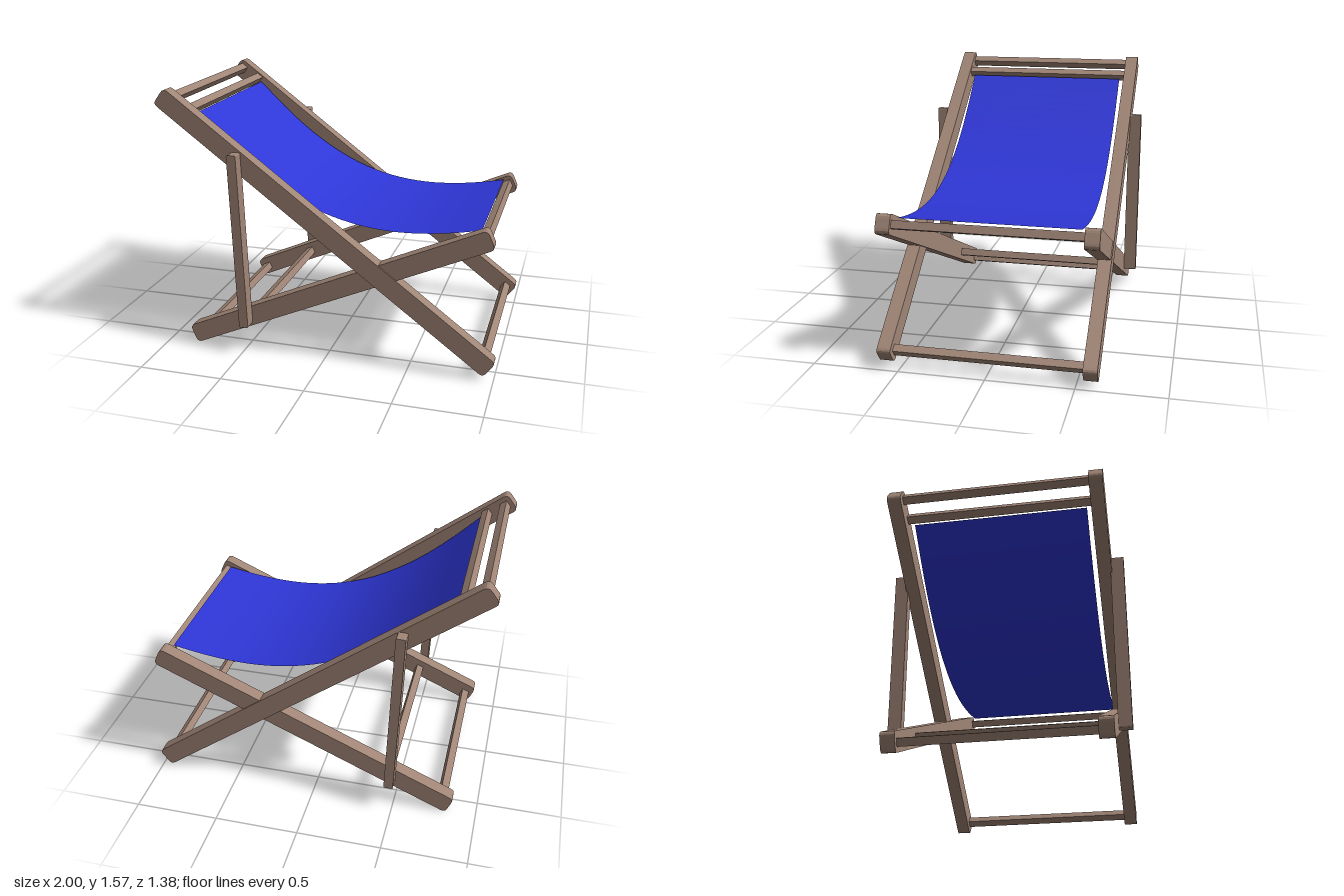
import * as THREE from 'three';

const wood = new THREE.MeshStandardMaterial({ color: 0xa08576 });
wood.name = 'wood';
const cloth = new THREE.MeshStandardMaterial({ color: 0x2e36d6, side: THREE.DoubleSide });
cloth.name = 'blueCanvas';

// Plank running between two points in the xy plane, with rounded end corners, extruded along z
function plank(name, a, b, width, r, z0, z1) {
  const len = Math.hypot(b[0] - a[0], b[1] - a[1]);
  const x = len / 2, y = width / 2;
  const s = new THREE.Shape();
  s.moveTo(-x + r, -y);
  s.lineTo(x - r, -y);
  s.quadraticCurveTo(x, -y, x, -y + r);
  s.lineTo(x, y - r);
  s.quadraticCurveTo(x, y, x - r, y);
  s.lineTo(-x + r, y);
  s.quadraticCurveTo(-x, y, -x, y - r);
  s.lineTo(-x, -y + r);
  s.quadraticCurveTo(-x, -y, -x + r, -y);
  const geo = new THREE.ExtrudeGeometry(s, { depth: z1 - z0, bevelEnabled: false, curveSegments: 4 });
  const mesh = new THREE.Mesh(geo, wood);
  mesh.name = name;
  mesh.position.set((a[0] + b[0]) / 2, (a[1] + b[1]) / 2, z0);
  mesh.rotation.z = Math.atan2(b[1] - a[1], b[0] - a[0]);
  return mesh;
}

export function createModel() {
  const group = new THREE.Group();
  group.name = 'deckChair';

  // Side frames: long back beam, short seat beam and outer prop on each side
  for (const side of [1, -1]) {
    const label = side > 0 ? 'left' : 'right';
    const drop = side > 0 ? 0 : -0.008;
    const span = (near, far) => (side > 0 ? [near, far] : [-far, -near]);
    group.add(
      plank(label + 'BackBeam', [-0.975, 1.535 + drop], [0.975, 0.073 + drop], 0.116, 0.03, ...span(0.54, 0.62)),
      plank(label + 'SeatBeam', [-0.84, 0.055 + drop], [0.952, 0.85 + drop], 0.116, 0.03, ...span(0.531, 0.613)),
      plank(label + 'Prop', [-0.478, 0.18], [-0.515, 1.235], 0.056, 0.008, ...span(0.612, 0.69)),
    );
  }

  // Square cross rails, tilted to match the beam that carries them
  const backTilt = Math.atan2(-1.462, 1.95), seatTilt = Math.atan2(0.795, 1.792);
  const rails = [
    ['topRail', -0.932, 1.511, backTilt],
    ['upperCanvasRail', -0.825, 1.448, backTilt],
    ['footRail', 0.932, 0.102, backTilt],
    ['frontCanvasRail', 0.912, 0.833, seatTilt],
    ['lowerRail', -0.46, 0.218, seatTilt],
    ['rearRail', -0.79, 0.064, seatTilt],
  ];
  for (const [name, x, y, tilt] of rails) {
    const rail = new THREE.Mesh(new THREE.BoxGeometry(0.046, 0.046, 1.09), wood);
    rail.name = name;
    rail.position.set(x, y, 0);
    rail.rotation.z = tilt;
    group.add(rail);
  }

  // Sagging canvas seat: a sheet whose rows follow a smooth curve
  const curve = new THREE.CatmullRomCurve3([
    [-0.79, 1.428], [-0.6, 1.246], [-0.43, 1.105], [-0.25, 0.987], [-0.06, 0.895],
    [0.16, 0.833], [0.36, 0.81], [0.55, 0.814], [0.72, 0.834], [0.885, 0.865],
  ].map(([x, y]) => new THREE.Vector3(x, y, 0)));
  const steps = 32;
  const sheet = new THREE.PlaneGeometry(1, 1.02, steps, 1);
  const pos = sheet.attributes.position;
  for (let i = 0; i < pos.count; i++) {
    const p = curve.getPointAt(Math.min(1, Math.max(0, pos.getX(i) + 0.5)));
    pos.setXYZ(i, p.x, p.y, -pos.getY(i));
  }
  sheet.computeVertexNormals();
  const canvas = new THREE.Mesh(sheet, cloth);
  canvas.name = 'canvasSeat';
  group.add(canvas);

  return group;
}
